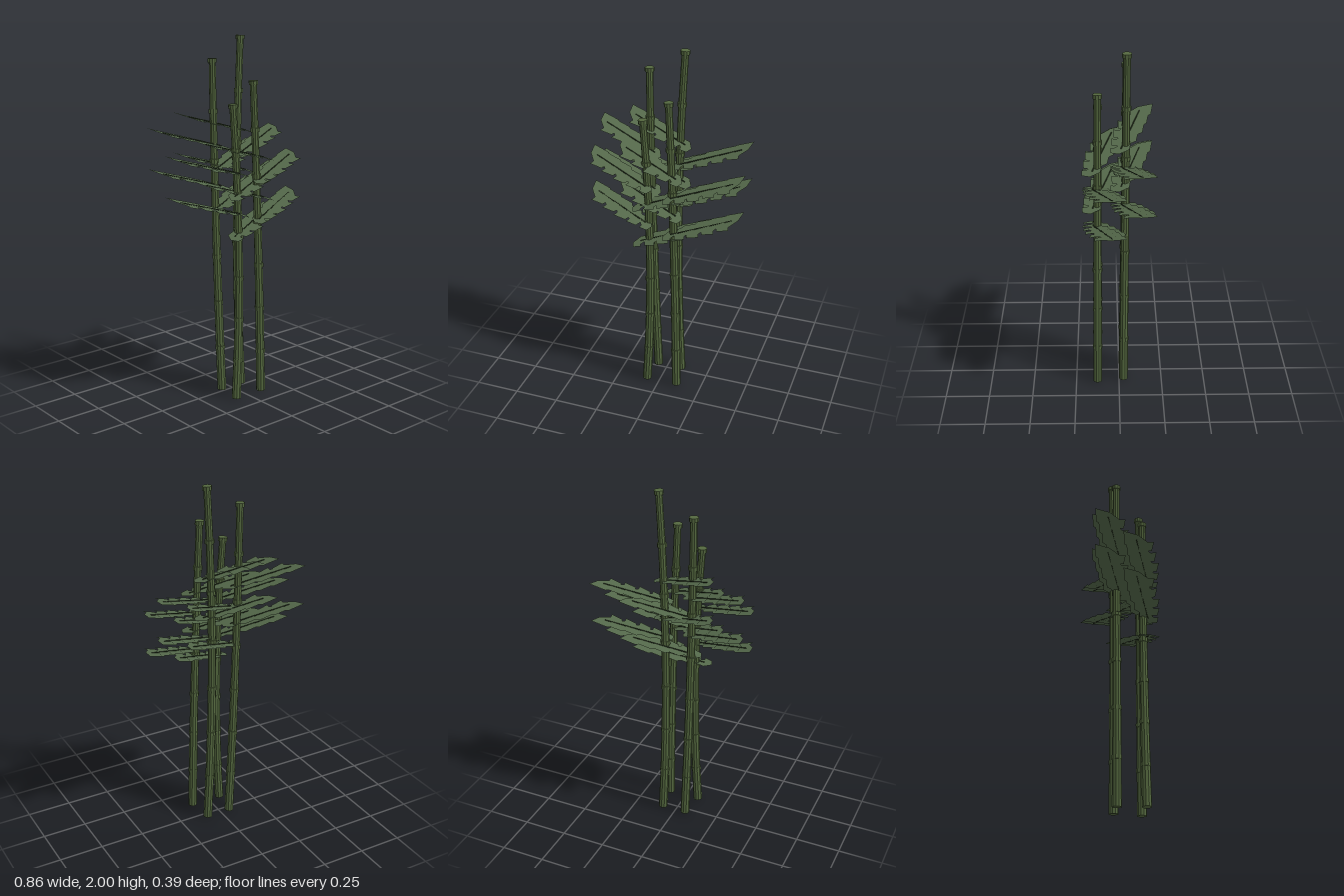
import * as THREE from 'three';

const stalkGreen = new THREE.MeshStandardMaterial({ color: 0x54683f, flatShading: true });
stalkGreen.name = 'stalk green';
const leafGreen = new THREE.MeshStandardMaterial({ color: 0x54684a, flatShading: true, side: THREE.DoubleSide });
leafGreen.name = 'leaf green';
const twigGreen = new THREE.MeshStandardMaterial({ color: 0x27331f, flatShading: true });
twigGreen.name = 'twig dark green';

const SIDES = 10, SEGMENTS = 7, UP = new THREE.Vector3(0, 1, 0);

// tapered rod between two points
function rod(name, a, b, ra, rb, material, sides = SIDES) {
  const d = b.clone().sub(a);
  const mesh = new THREE.Mesh(new THREE.CylinderGeometry(rb, ra, d.length(), sides), material);
  mesh.position.copy(a).add(b).multiplyScalar(0.5);
  mesh.quaternion.setFromUnitVectors(UP, d.normalize());
  mesh.name = name;
  return mesh;
}

// gently bowed stalk: seven tapering segments, each closed by a collar
function makeStalk({ x, z, h }) {
  const g = new THREE.Group();
  g.name = 'stalk';
  const point = (t) => new THREE.Vector3(
    x[0] * (1 - t) * (1 - 2 * t) + x[1] * 4 * t * (1 - t) + x[2] * t * (2 * t - 1),
    h * t, z - 0.014 * t);
  const radius = (t) => 0.026 - 0.007 * t;
  for (let i = 0; i < SEGMENTS; i++) {
    const t0 = i / SEGMENTS, t1 = (i + 1) / SEGMENTS;
    const a = point(t0), b = point(t1);
    g.add(rod('stalkSegment', a, b, radius(t0), radius(t1), stalkGreen));
    const low = b.clone().lerp(a, 0.022 / (h / SEGMENTS));
    const r = 0.028 - 0.003 * t1;
    g.add(rod('nodeCollar', low, b, r, r, stalkGreen));
  }
  return g;
}

// one ragged leaf blade, outline in x and z, growing towards -x
const outline = [[-0.045, -0.075], [-0.035, 0.005], [0.004, 0.062], [-0.005, 0.094],
  [0.06, 0.092], [0.085, 0.025], [0.045, -0.06]];
function makeLeafGeometry() {
  const shape = new THREE.Shape(outline.map(([px, pz]) => new THREE.Vector2(px, -pz)));
  const geo = new THREE.ShapeGeometry(shape);
  geo.rotateX(-Math.PI / 2);
  const p = geo.attributes.position;
  for (let i = 0; i < p.count; i++) p.setY(i, -0.28 * p.getX(i) - 0.12 * p.getZ(i));
  geo.computeVertexNormals();
  return geo;
}
const leafGeo = makeLeafGeometry();

// frond: overlapping blades stepping from the tip down to the stalk, with a thin twig
const step = new THREE.Vector3(0.075, -0.021, 0.025);
function makeFrond(tip, side) {
  const g = new THREE.Group();
  g.name = side < 0 ? 'rightFrond' : 'leftFrond';
  [1, 1, 1, 0.85, 0.65].forEach((s, i) => {
    const leaf = new THREE.Mesh(leafGeo, leafGreen);
    leaf.name = 'leaf';
    leaf.position.copy(step).multiplyScalar(i);
    leaf.scale.setScalar(s);
    g.add(leaf);
  });
  g.add(rod('twig', step.clone().multiplyScalar(4.2), new THREE.Vector3(), 0.004, 0.003, twigGreen, 5));
  g.position.copy(tip);
  g.scale.x = -side * -1;
  return g;
}

export function createModel() {
  const model = new THREE.Group();
  model.name = 'bambooCluster';
  // x gives foot, middle and top; shift places the fronds of each stalk
  const stalks = [
    { x: [0.085, 0.058, 0.088], z: -0.026, h: 2.0, shift: [0, 0, 0] },
    { x: [-0.058, -0.09, -0.107], z: -0.026, h: 1.885, shift: [-0.17, -0.07, 0] },
    { x: [0.105, 0.085, 0.05], z: 0.126, h: 1.77, shift: [0, -0.13, 0.153] },
    { x: [-0.077, -0.054, -0.092], z: 0.126, h: 1.655, shift: [-0.17, -0.2, 0.153] },
  ];
  for (const s of stalks) {
    model.add(makeStalk(s));
    const shift = new THREE.Vector3(...s.shift);
    for (const drop of [0, 0.22]) {
      model.add(makeFrond(new THREE.Vector3(-0.215, 1.575 - drop, -0.115).add(shift), 1));
      model.add(makeFrond(new THREE.Vector3(0.385, 1.455 - drop, -0.115).add(shift), -1));
    }
  }
  return model;
}
